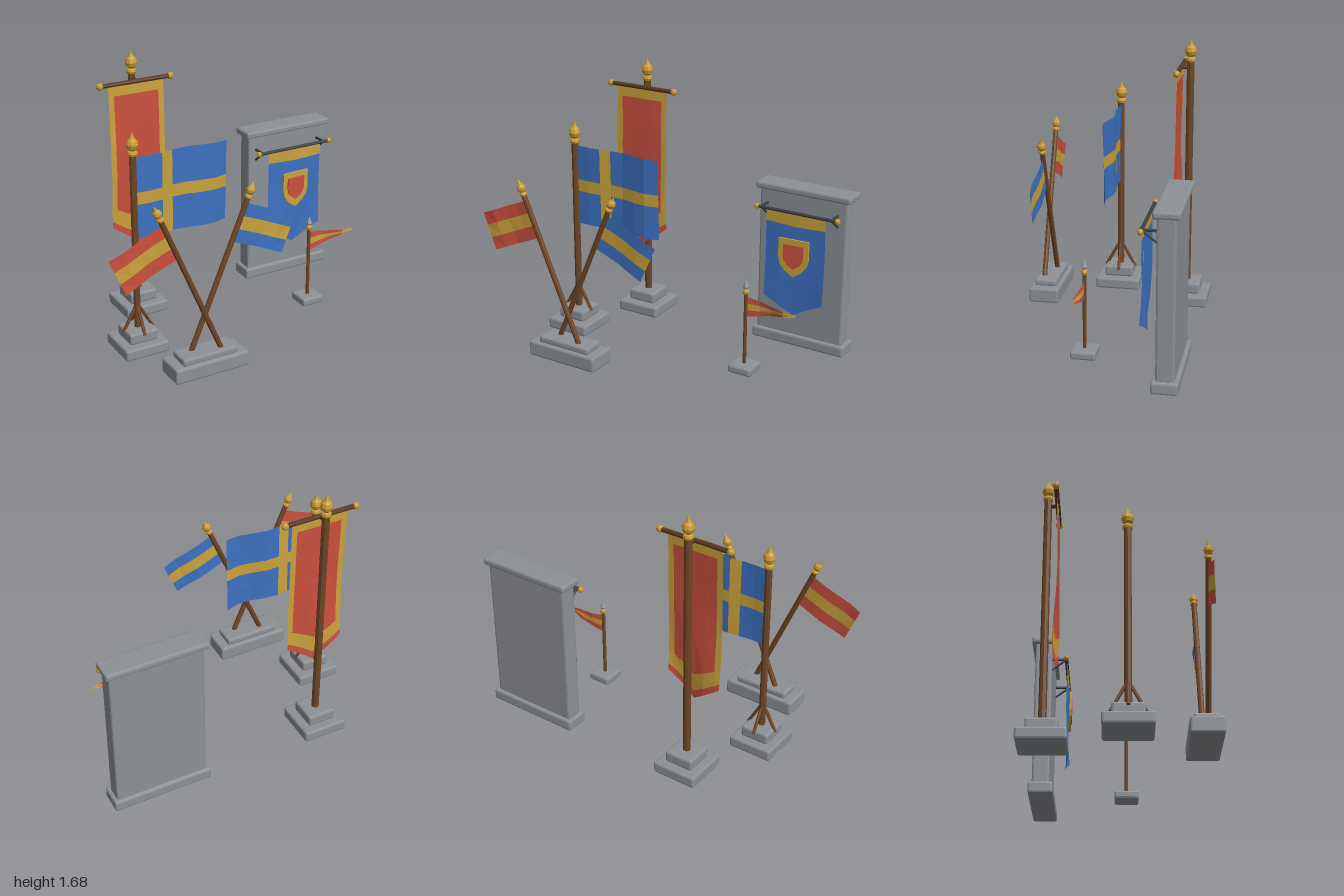
import * as THREE from 'three';
import { RoundedBoxGeometry } from 'three/addons/geometries/RoundedBoxGeometry.js';

const mat = (name, color, side = THREE.FrontSide) => new THREE.MeshStandardMaterial({ name, color, side });
const stone = mat('stone', 0x8d9196);
const wood = mat('wood', 0x6e4524);
const darkWood = mat('darkWood', 0x573820);
const gold = mat('gold', 0xc99a34);
const iron = mat('iron', 0x3b3f45);
const steel = mat('steel', 0x9a9ea3);
const red = mat('redCloth', 0xcb503e, THREE.DoubleSide);
const blue = mat('blueCloth', 0x3d72c2, THREE.DoubleSide);
const yellow = mat('yellowCloth', 0xcba23c, THREE.DoubleSide);

// Faceted mesh
function mesh(name, geometry, material) {
  const g = geometry.index ? geometry.toNonIndexed() : geometry;
  g.computeVertexNormals();
  const m = new THREE.Mesh(g, material);
  m.name = name;
  return m;
}

// Chamfered stone block standing on height y
function block(name, w, h, d, x, y, z) {
  const m = mesh(name, new RoundedBoxGeometry(w, h, d, 1, 0.012), stone);
  m.position.set(x, y + h / 2, z);
  return m;
}

// Round bar between two points
function rod(name, a, b, r, material, sides = 8) {
  const p = new THREE.Vector3(...a), q = new THREE.Vector3(...b);
  const m = mesh(name, new THREE.CylinderGeometry(r, r, p.distanceTo(q), sides), material);
  m.position.copy(p).add(q).multiplyScalar(0.5);
  m.quaternion.setFromUnitVectors(new THREE.Vector3(0, 1, 0), q.sub(p).normalize());
  return m;
}

function ball(name, r, x, y, z) {
  const m = mesh(name, new THREE.SphereGeometry(r, 8, 6), gold);
  m.position.set(x, y, z);
  return m;
}

// Collar, ball and spike on top of a pole
function finial(x, y, z, s = 1) {
  const profile = [[0, 0], [0.027, 0], [0.031, 0.012], [0.027, 0.024], [0.017, 0.03], [0.03, 0.043],
    [0.037, 0.065], [0.03, 0.087], [0.016, 0.1], [0.009, 0.115], [0, 0.143]];
  const m = mesh('finial', new THREE.LatheGeometry(profile.map(p => new THREE.Vector2(p[0] * s, p[1] * s)), 10), gold);
  m.position.set(x, y, z);
  return m;
}

// Cloth grid: us and vs are the grid lines, colour(i, j) picks a cell's cloth
function cloth(name, us, vs, colour, place) {
  const group = new THREE.Group();
  group.name = name;
  const cells = new Map();
  for (let i = 0; i < us.length - 1; i++) for (let j = 0; j < vs.length - 1; j++) {
    const c = colour(i, j);
    if (!cells.has(c)) cells.set(c, []);
    const a = place(us[i], vs[j]), b = place(us[i + 1], vs[j]);
    const d = place(us[i], vs[j + 1]), e = place(us[i + 1], vs[j + 1]);
    cells.get(c).push(...a, ...d, ...b, ...b, ...d, ...e);
  }
  for (const [c, pos] of cells) {
    const g = new THREE.BufferGeometry();
    g.setAttribute('position', new THREE.Float32BufferAttribute(pos, 3));
    group.add(mesh(name + ' ' + c.name, g, c));
  }
  return group;
}

function makeGroup(name, ...children) {
  const g = new THREE.Group();
  g.name = name;
  if (children.length) g.add(...children);
  return g;
}

// Tall stand with a hanging banner
function bannerStand() {
  const x = -0.4, z = -0.42, zb = -0.363;
  const g = makeGroup('bannerStand',
    block('base', 0.28, 0.07, 0.28, x, 0, z),
    block('plinth', 0.18, 0.07, 0.18, x, 0.07, z),
    rod('pole', [x, 0.13, z], [x, 1.55, z], 0.023, wood),
    finial(x, 1.535, z),
    rod('crossbar', [-0.63, 1.5, zb], [-0.175, 1.5, zb], 0.014, darkWood),
    rod('crossbarBracket', [x, 1.5, z], [x, 1.5, zb], 0.012, darkWood),
    ball('crossbarEnd', 0.022, -0.63, 1.5, zb), ball('crossbarEnd', 0.022, -0.175, 1.5, zb));
  g.add(cloth('banner', [-1, -0.8, -0.4, 0, 0.4, 0.8, 1], [1.495, 1.43, 1.27, 1.1, 0.93, 0.73, 0.64, 0.6],
    (i, j) => j === 6 ? red : (j === 0 || j === 5 || i === 0 || i === 5) ? yellow : red,
    (u, v) => {
      const t = (1.495 - v) / 0.895;
      return [x - 0.002 + 0.178 * u, v - 0.13 * t * t * (1 - Math.abs(u)),
        zb + 0.004 + t * (0.007 * Math.sin(7 * t + 2.4 * u) + 0.008 * Math.sin(3 * u)) + 0.008 * Math.sin(Math.PI * t)];
    }));
  return g;
}

// Flagpole with braced foot and a cross flag
function flagStand() {
  const x = -0.627, z = 0.044;
  const g = makeGroup('flagStand',
    block('base', 0.28, 0.07, 0.28, x, 0, z),
    block('plinth', 0.18, 0.07, 0.18, x, 0.07, z),
    rod('pole', [x, 0.12, z], [x, 1.24, z], 0.021, wood),
    finial(x, 1.215, z));
  for (const [dx, dz] of [[1, 0], [-1, 0], [0, 1], [0, -1]])
    g.add(rod('brace', [x + dx * 0.095, 0.12, z + dz * 0.095], [x + dx * 0.012, 0.27, z + dz * 0.012], 0.01, wood, 6));
  g.add(cloth('crossFlag', [-0.615, -0.53, -0.445, -0.375, -0.29, -0.205, -0.12, -0.03], [1.2, 1.09, 0.985, 0.91, 0.8, 0.7],
    (i, j) => i === 2 || j === 2 ? yellow : blue,
    (u, v) => {
      const t = (u + 0.615) / 0.585;
      return [u, v, z + (0.008 + 0.013 * t) * Math.sin(t * 9 + (1.2 - v) * 1.6) * Math.min(1, t * 4)];
    }));
  return g;
}

// Leaning pole with a striped flag; s = 1 leans to +x
function leaningFlag(s, x, z, edge) {
  const g = makeGroup('leaningFlag',
    rod('pole', [0, -0.03, 0], [0, 0.95, 0], 0.016, wood),
    finial(0, 0.94, 0, 0.74));
  g.add(cloth('stripedFlag', [0.008, 0.09, 0.18, 0.27, 0.352], [0.91, 0.833, 0.753, 0.675],
    (i, j) => j === 1 ? yellow : edge,
    (u, v) => [s * u, v, 0.03 * u / 0.35 * 0.5 * Math.sin(u * 16 + v * 4)]));
  g.position.set(x, 0.13, z);
  g.rotation.z = -s * 0.4;
  return g;
}

// Stone slab with a hanging shield banner
function wallDisplay() {
  const x = 0.69, z = -0.473, zr = -0.333;
  const g = makeGroup('wallDisplay',
    block('wallFoot', 0.615, 0.07, 0.15, x, 0, z),
    block('wallPanel', 0.572, 0.93, 0.105, x, 0.06, z),
    block('wallCap', 0.615, 0.043, 0.15, x, 0.98, z),
    rod('hangingRod', [0.43, 0.895, zr], [0.953, 0.895, zr], 0.011, iron));
  for (const s of [-1, 1]) {
    const bx = 0.686 + s * 0.229;
    g.add(ball('rodEnd', 0.018, 0.691 + s * 0.262, 0.895, zr),
      rod('rodArm', [bx, 0.895, -0.425], [bx, 0.895, zr], 0.009, iron, 6),
      rod('rodStrut', [bx, 0.825, -0.422], [bx, 0.89, zr - 0.005], 0.007, iron, 6));
  }
  g.add(cloth('wallBanner', [-1, -0.5, 0, 0.5, 1], [0.888, 0.82, 0.7, 0.58, 0.46, 0.345],
    (i, j) => j === 0 ? yellow : blue,
    (u, v) => {
      const t = (0.888 - v) / 0.543;
      return [x + 0.193 * u, v - 0.105 * t * (1 - Math.abs(u)) * Math.max(t, 0.6),
        zr + 0.006 + t * 0.012 * Math.sin(3 * u + 4 * t)];
    }));
  // Shield emblem
  const shield = (name, w, top, bottom, depth, material) => {
    const sh = new THREE.Shape();
    const mid = top - (top - bottom) * 0.5;
    sh.moveTo(-w, top);
    sh.lineTo(-w, mid);
    sh.quadraticCurveTo(-w, bottom + (top - bottom) * 0.22, 0, bottom);
    sh.quadraticCurveTo(w, bottom + (top - bottom) * 0.22, w, mid);
    sh.lineTo(w, top);
    return mesh(name, new THREE.ExtrudeGeometry(sh, { depth, bevelEnabled: false, curveSegments: 3 }), material);
  };
  const rim = shield('shieldRim', 0.096, 0.12, -0.12, 0.012, yellow);
  const face = shield('shieldFace', 0.064, 0.085, -0.067, 0.006, red);
  face.position.z = 0.012;
  const emblem = makeGroup('shield', rim, face);
  emblem.position.set(x, 0.616, -0.32);
  emblem.rotation.y = 0.07;
  g.add(emblem);
  return g;
}

// Small pennant on a spear
function pennantStand() {
  const x = 0.568, z = 0.043;
  const tip = mesh('spearTip', new THREE.LatheGeometry(
    [[0, 0], [0.01, 0], [0.018, 0.02], [0, 0.065]].map(p => new THREE.Vector2(...p)), 6), steel);
  tip.position.set(x, 0.52, z);
  return makeGroup('pennantStand',
    block('base', 0.147, 0.05, 0.147, x, 0, z),
    rod('pole', [x, 0.04, z], [x, 0.505, z], 0.011, wood),
    ball('spearCollar', 0.021, x, 0.508, z), tip,
    cloth('pennant', [0, 0.25, 0.5, 0.75, 1], [1, 0.36, -0.36, -1],
      (i, j) => j === 1 || i === 3 ? yellow : red,
      (u, v) => [x + 0.008 + 0.314 * u, 0.413 + 0.017 * u + v * 0.062 * (1 - 0.97 * u),
        z + 0.012 * Math.sin(u * 6 + v * 0.5 + 3) * Math.min(1, u * 3)]));
}

export function createModel() {
  const crossed = makeGroup('crossedFlags',
    block('base', 0.47, 0.094, 0.188, -0.4, 0, 0.46),
    block('plinth', 0.352, 0.045, 0.14, -0.4, 0.088, 0.46),
    leaningFlag(-1, -0.315, 0.486, red),
    leaningFlag(1, -0.48, 0.44, blue));
  return makeGroup('flagCollection', bannerStand(), flagStand(), crossed, wallDisplay(), pennantStand());
}
